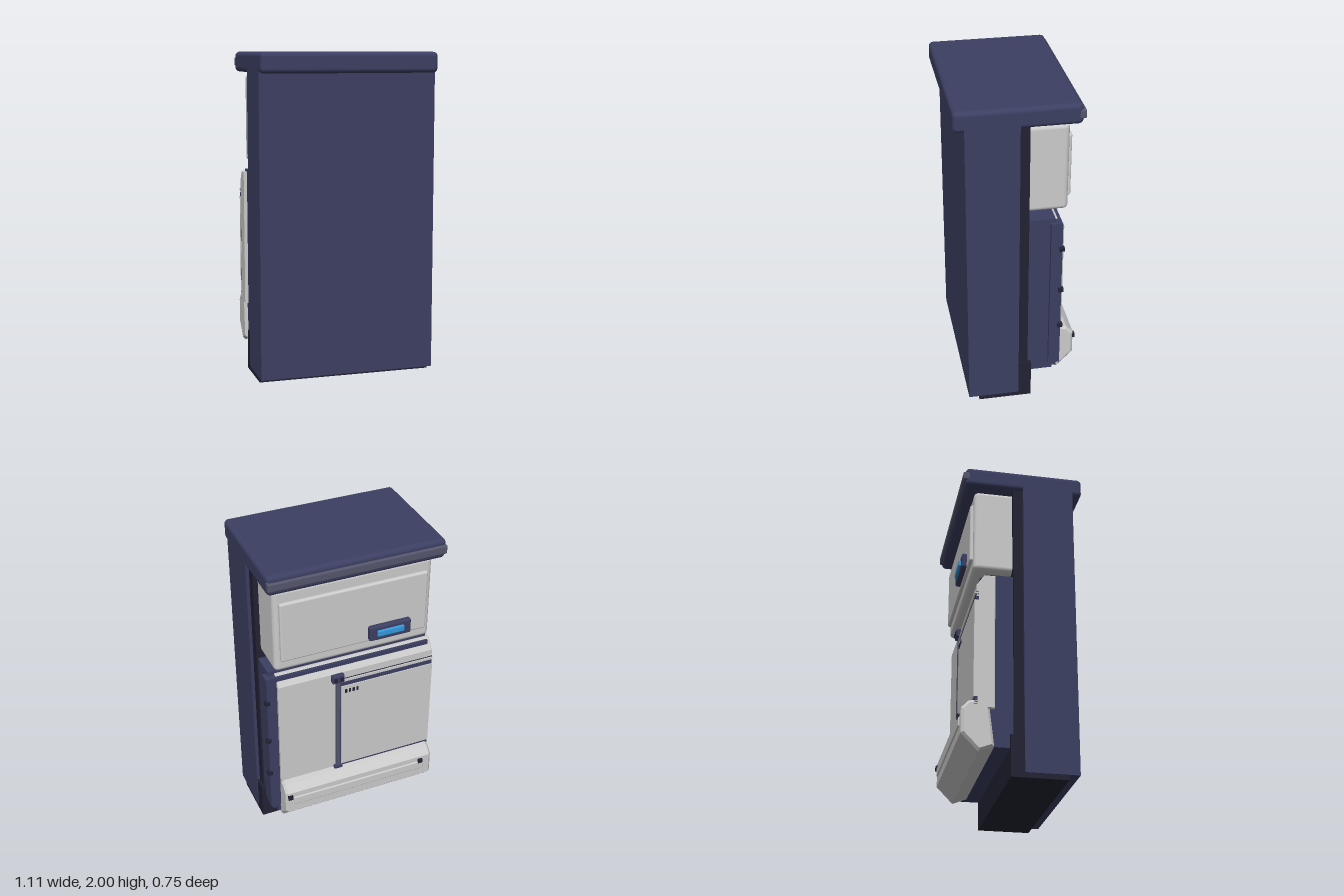
import * as THREE from 'three';
import { RoundedBoxGeometry } from 'three/addons/geometries/RoundedBoxGeometry.js';

const mat = (color) => new THREE.MeshStandardMaterial({ color });

export function createModel() {
  const root = new THREE.Group();
  const navy = mat(0x3c3f62), dark = mat(0x222233), grey = mat(0xcccccc);
  const slate = mat(0x55566c), blue = mat(0x3399dd);

  const add = (name, geometry, material) => {
    const mesh = new THREE.Mesh(geometry, material);
    mesh.name = name;
    root.add(mesh);
    return mesh;
  };
  // Box given by its limits on each axis, optionally rounded
  const box = (name, material, [x0, x1], [y0, y1], [z0, z1], r = 0) => {
    const size = [x1 - x0, y1 - y0, z1 - z0];
    const geo = r ? new RoundedBoxGeometry(...size, 4, r) : new THREE.BoxGeometry(...size);
    add(name, geo, material).position.set((x0 + x1) / 2, (y0 + y1) / 2, (z0 + z1) / 2);
  };
  // Side profile of [z, y] points swept along x, with chamfered edges
  const sweep = (name, material, points, x0, x1, bevel) => {
    const shape = new THREE.Shape(points.map(([z, y]) => new THREE.Vector2(-z, y)));
    const geo = new THREE.ExtrudeGeometry(shape, {
      depth: x1 - x0 - 2 * bevel, bevelEnabled: bevel > 0, bevelSegments: 1,
      bevelSize: bevel, bevelThickness: bevel, bevelOffset: -bevel,
    });
    geo.rotateY(Math.PI / 2);
    add(name, geo, material).position.x = x0 + bevel;
  };

  // Cabinet shell, back wall and plinth
  box('cabinetBody', navy, [-0.55, 0.55], [0.03, 1.9], [0, 0.315]);
  box('backWall', dark, [-0.53, 0.53], [0.03, 1.895], [-0.06, 0.01]);
  box('plinth', dark, [-0.546, 0.546], [0, 0.25], [-0.08, 0.25]);

  // Lid with trim bar
  box('lid', navy, [-0.55, 0.55], [1.875, 2], [-0.36, 0.377], 0.028);
  box('lidTrim', slate, [-0.55, 0.55], [1.91, 1.965], [-0.375, -0.33], 0.01);

  // Upper compartment with face panel and display
  box('upperCompartment', grey, [-0.5, 0.5], [1.31, 1.862], [-0.297, -0.03], 0.03);
  box('upperPanel', grey, [-0.466, 0.466], [1.385, 1.78], [-0.317, -0.28], 0.012);
  box('displayHousing', navy, [-0.353, -0.083], [1.4, 1.497], [-0.347, -0.3], 0.012);
  box('displayScreen', blue, [-0.305, -0.13], [1.43, 1.472], [-0.36, -0.33], 0.008);

  // Lower housing and door frame
  box('lowerHousing', navy, [-0.52, 0.52], [0.175, 1.265], [-0.22, -0.05]);
  box('lowerHousingFoot', navy, [-0.5, 0.5], [0.175, 0.3], [-0.25, -0.2]);
  box('doorFrame', navy, [-0.52, 0.545], [0.23, 1.24], [-0.26, -0.19]);
  for (const y of [0.52, 0.78, 1.07]) {
    box('hinge', dark, [0.53, 0.56], [y - 0.014, y + 0.014], [-0.272, -0.24], 0.005);
  }

  // Door slab with sloped top
  sweep('doorPanel', grey, [[-0.17, 0.4], [-0.17, 1.25], [-0.235, 1.25],
    [-0.283, 1.18], [-0.283, 0.4]].reverse(), -0.54, 0.48, 0.004);

  // Raised panel in a dark surround, with rails above and below
  box('panelSurround', navy, [-0.541, 0.09], [0.44, 1.105], [-0.288, -0.27]);
  box('raisedPanel', grey, [-0.542, 0.075], [0.465, 1.08], [-0.295, -0.27]);
  for (const y of [0.425, 1.125]) {
    box('railGroove', dark, [-0.541, 0.09], [y - 0.009, y + 0.009], [-0.286, -0.27]);
    box('rail', grey, [-0.542, 0.09], [y - 0.005, y + 0.005], [-0.294, -0.27]);
  }
  for (let i = 0; i < 4; i++) {
    const x = 0.045 - i * 0.025;
    box('indicator', dark, [x - 0.007, x + 0.007], [1.03, 1.055], [-0.299, -0.29]);
  }

  // Vertical latch bar with end blocks
  box('latchBar', slate, [0.085, 0.11], [0.44, 1.15], [-0.298, -0.27]);
  box('latchHead', navy, [0.06, 0.14], [1.125, 1.18], [-0.312, -0.27], 0.008);
  box('latchFoot', navy, [0.07, 0.125], [0.435, 0.465], [-0.305, -0.27], 0.006);
  for (const x of [0.08, 0.12]) {
    box('latchPin', dark, [x - 0.01, x + 0.01], [1.14, 1.165], [-0.318, -0.3]);
  }

  // Faceted bottom tray with front strip and end buttons
  sweep('bottomTray', grey, [[-0.17, 0.175], [-0.2, 0.42], [-0.28, 0.45], [-0.32, 0.44],
    [-0.362, 0.395], [-0.362, 0.245], [-0.26, 0.14]].reverse(), -0.54, 0.48, 0.015);
  box('trayStrip', grey, [-0.48, 0.43], [0.3, 0.36], [-0.37, -0.35], 0.008);
  for (const x of [-0.457, 0.452]) {
    box('trayButton', dark, [x - 0.015, x + 0.015], [0.35, 0.38], [-0.374, -0.35]);
  }

  return root;
}
